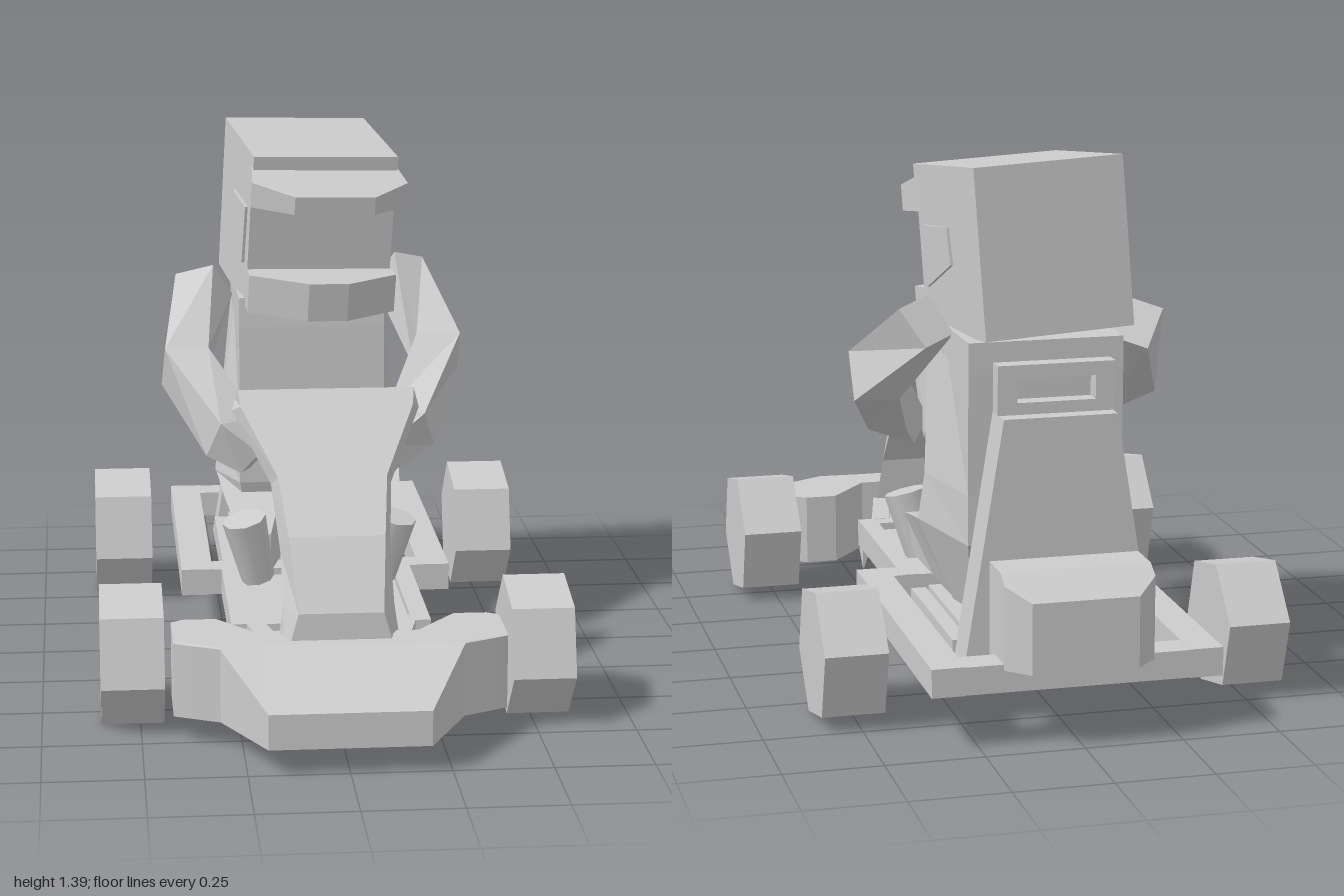
import * as THREE from 'three';

const grey = new THREE.MeshStandardMaterial({ color: 0xcccccc });
grey.name = 'plain grey';

function part(name, geometry, parent) {
  const mesh = new THREE.Mesh(geometry, grey);
  mesh.name = name;
  parent.add(mesh);
  return mesh;
}

// Box given by its limits on each axis
function box(name, parent, x0, x1, y0, y1, z0, z1) {
  const g = new THREE.BoxGeometry(x1 - x0, y1 - y0, z1 - z0);
  g.translate((x0 + x1) / 2, (y0 + y1) / 2, (z0 + z1) / 2);
  return part(name, g, parent);
}

// Closed solid through matching rings of [x, y, z]; turned outwards by signed volume
function loft(rings) {
  const tris = [];
  const n = rings[0].length;
  for (let i = 0; i < rings.length - 1; i++) {
    const a = rings[i], b = rings[i + 1];
    for (let j = 0; j < n; j++) {
      const k = (j + 1) % n;
      tris.push([a[j], a[k], b[k]], [a[j], b[k], b[j]]);
    }
  }
  const first = rings[0], last = rings[rings.length - 1];
  for (let j = 1; j < n - 1; j++) {
    tris.push([first[0], first[j + 1], first[j]], [last[0], last[j], last[j + 1]]);
  }
  const V = (p) => new THREE.Vector3(...p);
  const volume = tris.reduce((s, [a, b, c]) => s + V(a).dot(V(b).cross(V(c))), 0);
  if (volume < 0) tris.forEach((t) => t.reverse());
  const g = new THREE.BufferGeometry();
  g.setAttribute('position', new THREE.Float32BufferAttribute(tris.flat(2), 3));
  g.computeVertexNormals();
  return g;
}

const rectXY = (x0, x1, y0, y1, z) => [[x0, y0, z], [x1, y0, z], [x1, y1, z], [x0, y1, z]];
const rectXZ = (x0, x1, z0, z1, y) => [[x0, y, z0], [x1, y, z0], [x1, y, z1], [x0, y, z1]];

// Square-section limb along a path of [x, y, z, width, height, roll]
function limb(path) {
  const pts = path.map((p) => new THREE.Vector3(p[0], p[1], p[2]));
  return loft(path.map((p, i) => {
    const t = pts[Math.min(i + 1, pts.length - 1)].clone().sub(pts[Math.max(i - 1, 0)]).normalize();
    const side = new THREE.Vector3(0, 1, 0).cross(t).normalize().applyAxisAngle(t, p[5] ?? 0);
    const up = t.clone().cross(side);
    return [[-1, -1], [1, -1], [1, 1], [-1, 1]].map(([u, v]) =>
      pts[i].clone().addScaledVector(side, u * p[3] / 2).addScaledVector(up, v * p[4] / 2).toArray());
  }));
}

// Slab with an outline in x and z
function slab(outline, y0, y1) {
  return loft([y0, y1].map((y) => outline.map(([x, z]) => [x, y, z])));
}

// Flat plate in x and y with an optional hole
function plate(outline, hole, depth) {
  const shape = new THREE.Shape(outline.map((p) => new THREE.Vector2(...p)));
  if (hole) shape.holes.push(new THREE.Path(hole.map((p) => new THREE.Vector2(...p))));
  const g = new THREE.ExtrudeGeometry(shape, { depth, bevelEnabled: false });
  return g.translate(0, 0, -depth / 2);
}

function addChassis(kart) {
  for (const s of [-1, 1]) {
    for (const z of [0.545, -0.612]) {
      const wheel = new THREE.CylinderGeometry(0.178, 0.178, 0.16, 6).toNonIndexed();
      wheel.rotateZ(Math.PI / 2).rotateX(0.22);
      wheel.computeVertexNormals();
      part('wheel', wheel, kart).position.set(s * 0.52, 0.18, z);
    }
    const rail = (name, cx, w, z0, z1) =>
      box(name, kart, s * cx - w / 2, s * cx + w / 2, 0.147, 0.22, z0, z1);
    rail('rearRail', 0.327, 0.085, -0.94, -0.05);
    rail('frontRail', 0.235, 0.05, -0.13, 0.45);
    // Converging rail under the nose
    part('noseRail', loft([
      rectXY(s * 0.17, s * 0.22, 0.147, 0.22, 0.45),
      rectXY(s * 0.1, s * 0.15, 0.147, 0.22, 0.75)]), kart);
  }
  box('rearBar', kart, -0.29, 0.29, 0.148, 0.219, -0.94, -0.855);
  box('middleBar', kart, -0.29, 0.29, 0.148, 0.219, -0.13, -0.05);
  box('frontBar', kart, -0.215, 0.215, 0.148, 0.219, 0.4, 0.45);
  box('floorPlate', kart, -0.215, 0.215, 0.18, 0.2, -0.05, 0.4);
  part('footPlate', slab([[-0.19, 0.45], [0.19, 0.45], [0.13, 0.75], [-0.13, 0.75]], 0.18, 0.2), kart);

  // Nose: profiles across x as [x, back z, crest z, front z, front top y]
  const nose = [[0.42, 0.57, 0.72, 0.735, 0.265], [0.39, 0.55, 0.735, 0.75, 0.265],
    [0.305, 0.55, 0.785, 0.79, 0.265], [0.2, 0.68, 0.78, 1, 0.165]];
  const across = [...nose, ...nose.slice().reverse().map(([x, ...r]) => [-x, ...r])];
  part('noseBumper', loft(across.map(([x, zb, zt, zf, y]) =>
    [[x, 0.075, zf], [x, y, zf], [x, 0.268, zt], [x, 0.268, zb], [x, 0.075, zb]])), kart);

  // Front fairing: [front half width, z, y, back half width, z, y]
  const fairing = [[0.23, 0.27, 0.8, 0.235, 0.237, 0.77], [0.225, 0.31, 0.765, 0.245, 0.265, 0.745],
    [0.14, 0.48, 0.62, 0.155, 0.436, 0.59], [0.122, 0.62, 0.5, 0.14, 0.565, 0.445],
    [0.107, 0.74, 0.335, 0.14, 0.665, 0.335], [0.145, 0.75, 0.2, 0.16, 0.672, 0.2],
    [0.19, 0.75, 0.075, 0.2, 0.675, 0.075]];
  part('frontFairing', loft(fairing.map(([wf, zf, yf, wb, zb, yb]) =>
    [[-wf, yf, zf], [wf, yf, zf], [wb, yb, zb], [-wb, yb, zb]])), kart);
  for (const s of [-1, 1]) {
    part('fairingSpike', loft([
      rectXZ(s * 0.175, s * 0.2, 0.67, 0.75, 0.078),
      rectXZ(s * 0.197, s * 0.2, 0.673, 0.68, 0.01)]), kart);
  }

  // Engine with chamfered rear edges
  part('engine', loft([[-0.8, 0.19, 0.44], [-0.905, 0.19, 0.44], [-0.945, 0.19, 0.417], [-1, 0.135, 0.385]]
    .map(([z, w, y]) => rectXY(-w, w, 0.205, y, z))), kart);
}

function addSeatAndSteering(kart) {
  // Seat pan between two runners
  for (const s of [-1, 1]) {
    box('seatRunner', kart, s * 0.23 - 0.02, s * 0.23 + 0.02, 0.13, 0.2, -0.66, -0.19);
  }
  box('seatPan', kart, -0.21, 0.21, 0.19, 0.215, -0.66, -0.22);
  part('seatBack', loft([
    rectXZ(-0.25, 0.25, -0.765, -0.655, 0.13),
    rectXZ(-0.145, 0.145, -0.765, -0.655, 0.785)]), kart);
  part('headrest', plate(
    [[-0.15, 0.785], [0.15, 0.785], [0.15, 0.91], [-0.15, 0.91]],
    [[-0.1, 0.815], [-0.1, 0.875], [0.1, 0.875], [0.1, 0.815]], 0.045), kart).position.z = -0.7;

  part('steeringColumn', limb([[0, 0.28, 0.43, 0.03, 0.03], [0, 0.62, 0.065, 0.03, 0.03]]), kart);
  const wheel = new THREE.Group();
  wheel.name = 'steeringWheel';
  wheel.position.set(0, 0.615, 0.067);
  wheel.rotation.x = 0.6;
  part('steeringRim', plate(
    [[-0.1, -0.155], [0.1, -0.155], [0.16, -0.06], [0.16, 0.155], [-0.16, 0.155], [-0.16, -0.06]],
    [[-0.08, -0.115], [-0.12, -0.05], [-0.12, 0.115], [0.12, 0.115], [0.12, -0.05], [0.08, -0.115]], 0.036), wheel);
  box('steeringSpoke', wheel, -0.125, 0.125, -0.03, 0.03, -0.014, 0.014);
  kart.add(wheel);
}

function addDriver(kart) {
  // Torso: a ridge down each side flares to the hip; [y, back half width, z, ridge half width, z, front half width, z]
  const torso = [[0.2, 0.15, -0.46, 0.17, -0.36, 0.16, -0.24], [0.43, 0.2, -0.62, 0.262, -0.33, 0.2, -0.18],
    [0.56, 0.2, -0.62, 0.25, -0.355, 0.2, -0.18], [0.87, 0.2, -0.625, 0.202, -0.415, 0.2, -0.185],
    [0.95, 0.2, -0.625, 0.201, -0.42, 0.2, -0.19]];
  part('torso', loft(torso.map(([y, wb, zb, wm, zm, wf, zf]) =>
    [[-wb, y, zb], [wb, y, zb], [wm, y, zm], [wf, y, zf], [-wf, y, zf], [-wm, y, zm]])), kart);

  // Legs: [z, inner x, outer x at the bottom, outer x at the top, bottom y, top y]
  const leg = [[-0.34, 0.06, 0.17, 0.26, 0.21, 0.43], [-0.16, 0.09, 0.18, 0.245, 0.22, 0.395],
    [0.05, 0.13, 0.2, 0.215, 0.24, 0.345]];
  for (const s of [-1, 1]) {
    const side = s > 0 ? 'left' : 'right';
    part(side + 'Leg', loft(leg.map(([z, xi, xb, xt, y0, y1]) =>
      [[s * xi, y0, z], [s * xb, y0, z], [s * xt, y1, z], [s * xi, y1, z]])), kart);
    const foot = part(side + 'Foot', new THREE.CylinderGeometry(0.06, 0.045, 0.18, 8), kart);
    foot.position.set(s * 0.185, 0.31, 0.065);
    foot.rotation.set(0.15, 0, -s * 0.22);
  }

  // Arms reach for the wheel, each a little different
  part('leftArm', limb([[0.265, 0.975, -0.45, 0.1, 0.12, -0.3], [0.35, 0.79, -0.21, 0.12, 0.14],
    [0.25, 0.635, 0.04, 0.11, 0.12], [0.18, 0.57, 0.08, 0.06, 0.08]]), kart);
  part('rightArm', limb([[-0.285, 0.945, -0.43, 0.12, 0.12, 0.35], [-0.35, 0.765, -0.18, 0.12, 0.14],
    [-0.235, 0.62, 0.05, 0.12, 0.12], [-0.175, 0.56, 0.08, 0.06, 0.08]]), kart);

  // Helmet, turned slightly to its left and nodding
  const head = new THREE.Group();
  head.name = 'helmet';
  head.position.set(0.001, 1.153, -0.39);
  head.rotation.set(0.11, 0.125, -0.035, 'YXZ');
  box('helmetShell', head, -0.2, 0.2, -0.215, 0.215, -0.218, 0.203);
  box('helmetBrow', head, -0.2, 0.2, 0.17, 0.215, 0.19, 0.216);
  const peak = [[-0.2, 0.19, 0.185], [0.2, 0.19, 0.185], [0.215, 0.28, 0.16],
    [0.11, 0.355, 0.14], [-0.11, 0.355, 0.14], [-0.215, 0.28, 0.16]];
  part('helmetPeak', loft([
    peak.map(([x, z]) => [x, 0.092, z]), peak.map(([x, z, y]) => [x, y, z])]), head);
  part('chinGuard', slab([[-0.2, 0.18], [0.2, 0.18], [0.205, 0.26], [0.055, 0.345], [-0.055, 0.345], [-0.205, 0.26]], -0.21, -0.105), head);
  for (const s of [-1, 1]) {
    const panel = part('visorSide', plate([[-0.095, -0.04], [0.085, -0.105], [0.095, 0.055], [-0.085, 0.055]], null, 0.009), head);
    panel.rotation.y = -Math.PI / 2;
    panel.position.set(s * 0.203, 0.005, 0.07);
  }
  kart.add(head);
}

export function createModel() {
  const kart = new THREE.Group();
  kart.name = 'goKart';
  addChassis(kart);
  addSeatAndSteering(kart);
  addDriver(kart);
  return kart;
}
